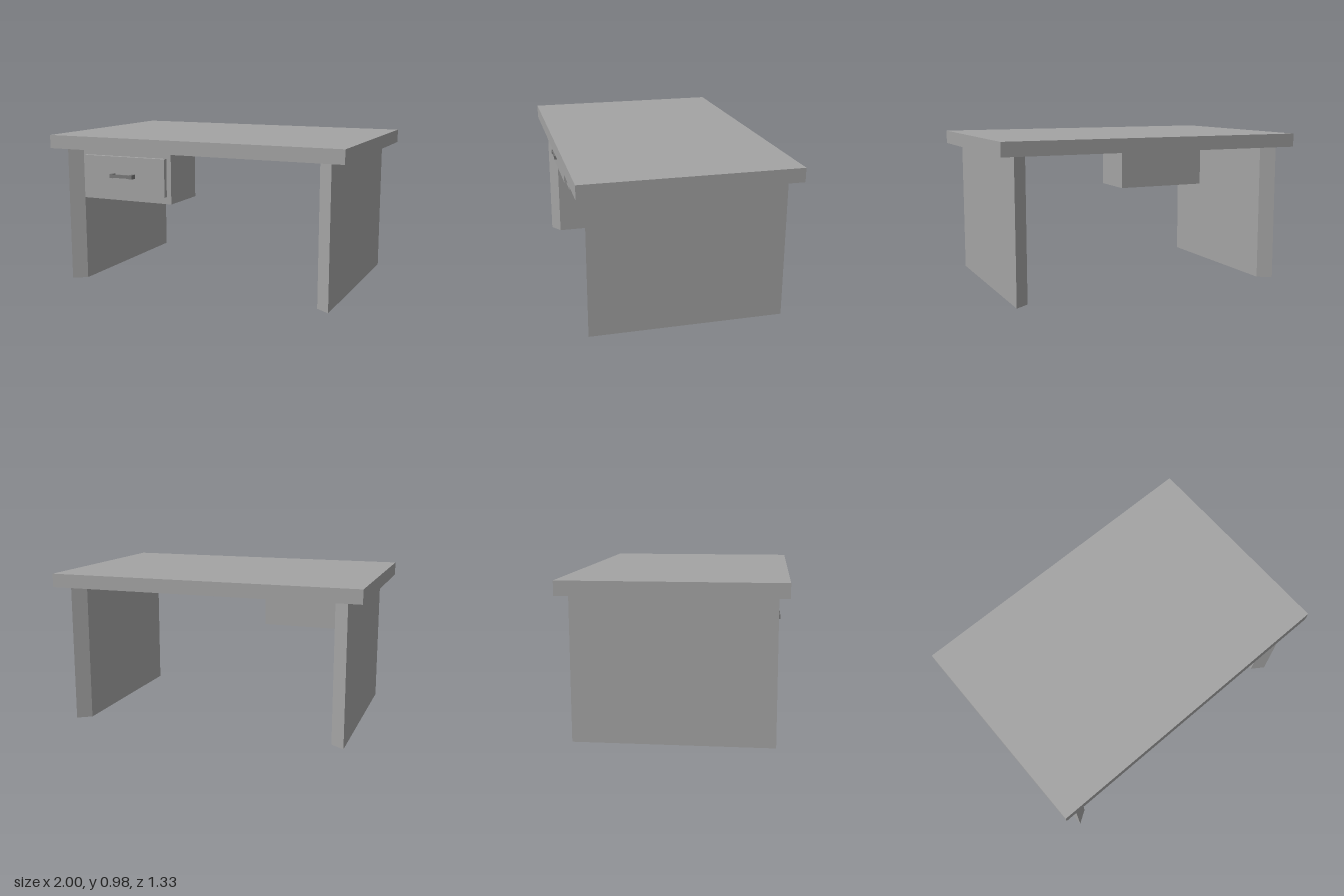
import * as THREE from 'three';

const wood = new THREE.MeshStandardMaterial({ color: 0xa4a4a4, flatShading: true });
const metal = new THREE.MeshStandardMaterial({ color: 0x787878, flatShading: true });

// Box given by its min and max corners
function box(name, [x0, y0, z0], [x1, y1, z1], material = wood) {
  const mesh = new THREE.Mesh(new THREE.BoxGeometry(x1 - x0, y1 - y0, z1 - z0), material);
  mesh.position.set((x0 + x1) / 2, (y0 + y1) / 2, (z0 + z1) / 2);
  mesh.name = name;
  return mesh;
}

export function createModel() {
  const desk = new THREE.Group();
  desk.name = 'desk';
  const underside = 0.891;

  desk.add(box('tabletop', [-1, underside, -0.667], [1, 0.978, 0.667]));

  // Side panels: trapezoid in plan, with bevelled front and back ends
  const plan = new THREE.Shape([
    new THREE.Vector2(0.905, -0.606),
    new THREE.Vector2(0.905, 0.606),
    new THREE.Vector2(0.82, 0.55),
    new THREE.Vector2(0.82, -0.55),
  ]);
  const panel = new THREE.ExtrudeGeometry(plan, { depth: underside, bevelEnabled: false });
  panel.rotateX(-Math.PI / 2);
  for (const [name, angle] of [['leftSidePanel', 0], ['rightSidePanel', Math.PI]]) {
    const mesh = new THREE.Mesh(panel, wood);
    mesh.rotation.y = angle;
    mesh.name = name;
    desk.add(mesh);
  }

  // Drawer cabinet hung under the top
  desk.add(box('drawerCabinet', [-0.82, 0.557, 0.215], [-0.163, underside, 0.55]));
  desk.add(box('drawerFront', [-0.797, 0.603, 0.55], [-0.195, 0.848, 0.58]));

  // Handle: slim darker bar between two end posts
  const handle = new THREE.Group();
  handle.name = 'drawerHandle';
  handle.add(box('handleBar', [-0.556, 0.714, 0.602], [-0.433, 0.735, 0.616], metal));
  for (const x of [-0.578, -0.433]) {
    handle.add(box('handlePost', [x, 0.711, 0.58], [x + 0.022, 0.738, 0.619], metal));
  }
  desk.add(handle);

  return desk;
}
